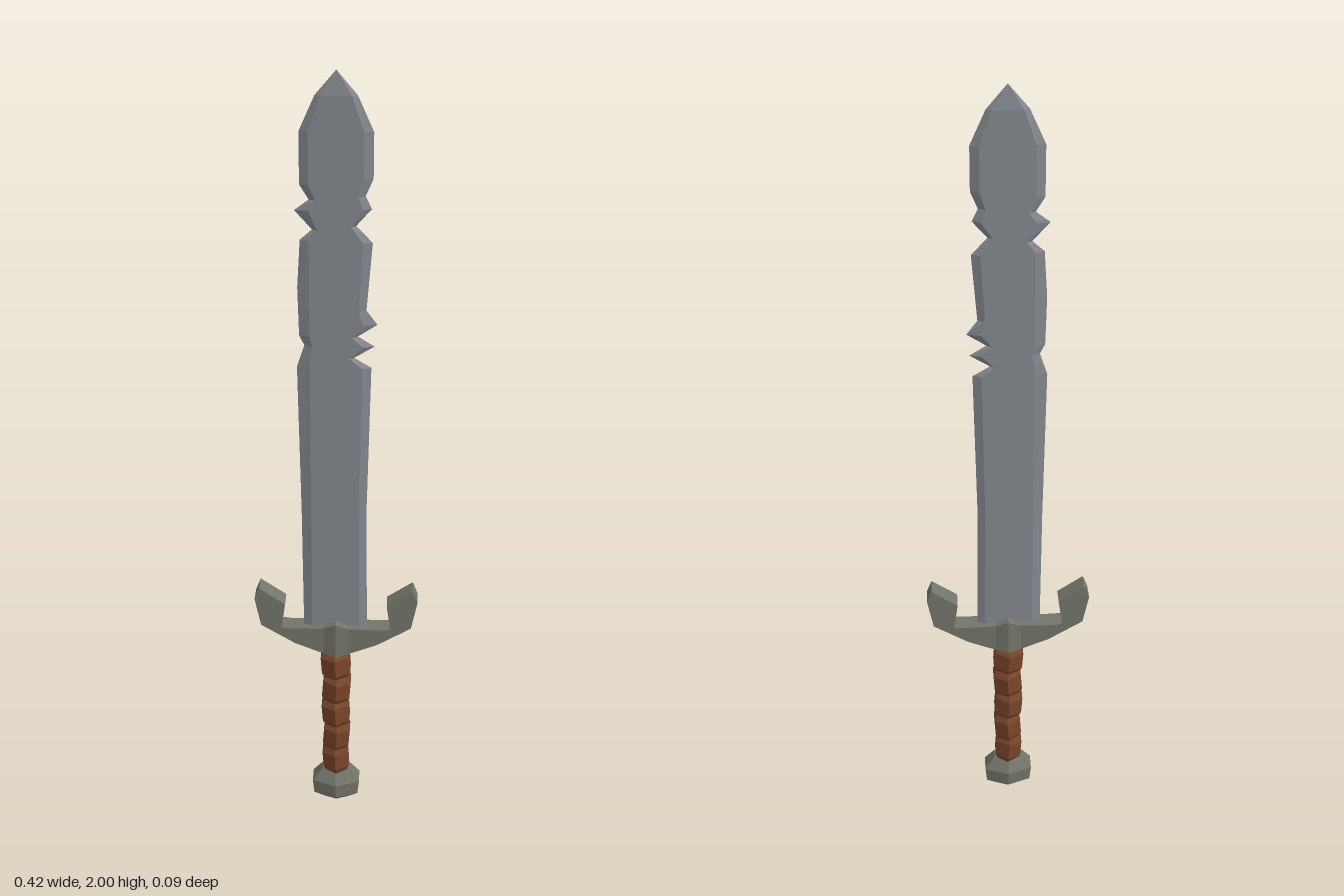
import * as THREE from 'three';

const material = (color) => new THREE.MeshStandardMaterial({ color, flatShading: true });

// Skin a series of equal-length closed loops, capping both ends.
function loft(loops) {
  const n = loops[0].length;
  const index = [];
  for (let i = 0; i < loops.length - 1; i++) {
    for (let j = 0; j < n; j++) {
      const a = i * n + j, b = i * n + (j + 1) % n;
      index.push(a, b, b + n, a, b + n, a + n);
    }
  }
  const last = (loops.length - 1) * n;
  for (let j = 1; j < n - 1; j++) {
    index.push(0, j + 1, j, last, last + j, last + j + 1);
  }
  const geometry = new THREE.BufferGeometry();
  geometry.setAttribute('position', new THREE.Float32BufferAttribute(loops.flat(2), 3));
  geometry.setIndex(index);
  geometry.computeVertexNormals();
  return geometry;
}

// Half width of an edge profile of [halfWidth, y] points at height y.
function widthAt(profile, y) {
  for (let i = 1; i < profile.length; i++) {
    const [w0, y0] = profile[i - 1], [w1, y1] = profile[i];
    if (y <= y1) return w0 + (w1 - w0) * (y - y0) / (y1 - y0);
  }
  return 0;
}

// Bevelled blade with a differently chipped edge on each side.
function bladeGeometry() {
  const leftEdge = [[0.08, 0.53], [0.075, 0.9], [0.083, 1.3], [0.042, 1.325], [0.09, 1.355],
    [0.05, 1.38], [0.096, 1.41], [0.07, 1.445], [0.083, 1.61], [0.045, 1.65], [0.08, 1.69],
    [0.066, 1.72], [0.083, 1.76], [0.083, 1.865], [0.047, 1.945], [0, 2]];
  const rightEdge = [[0.083, 0.53], [0.086, 0.9], [0.093, 1.3], [0.075, 1.355], [0.087, 1.38],
    [0.09, 1.5], [0.083, 1.615], [0.055, 1.64], [0.095, 1.685], [0.062, 1.71],
    [0.083, 1.745], [0.083, 1.865], [0.047, 1.945], [0, 2]];
  const heights = [...new Set([...leftEdge, ...rightEdge].map((p) => p[1]))].sort((a, b) => a - b);
  return loft(heights.map((y) => {
    const l = widthAt(leftEdge, y), r = widthAt(rightEdge, y);
    const li = Math.min(l * 0.75, 0.062), ri = Math.min(r * 0.75, 0.062);
    const t = y > 1.99 ? 0 : 0.009;
    return [[-r, y, 0], [-ri, y, t], [li, y, t], [l, y, 0], [li, y, -t], [-ri, y, -t]];
  }));
}

// Guard sections from centre to horn tip: lower point, upper point, half depth.
function guardGeometry() {
  const half = [
    [0, 0.485, 0, 0.587, 0.034],
    [0.032, 0.492, 0.032, 0.57, 0.024],
    [0.105, 0.522, 0.115, 0.568, 0.024],
    [0.193, 0.577, 0.14, 0.57, 0.024],
    [0.208, 0.655, 0.13, 0.642, 0.024],
    [0.196, 0.687, 0.194, 0.687, 0.024],
  ];
  const mirrored = half.slice(1).reverse().map(([bx, by, tx, ty, d]) => [-bx, by, -tx, ty, d]);
  return loft([...mirrored, ...half].map(([bx, by, tx, ty, d]) =>
    [[bx, by, d], [bx, by, -d], [tx, ty, -d], [tx, ty, d]]));
}

// Six-sided turned form.
const turned = (points) =>
  new THREE.LatheGeometry(points.map(([r, y]) => new THREE.Vector2(r, y)), 6);

export function createModel() {
  const sword = new THREE.Group();
  sword.name = 'sword';
  const steel = material(0x858990);
  const iron = material(0x74756a);
  const leather = material(0x79452b);
  const add = (name, geometry, mat, parent = sword) => {
    const mesh = new THREE.Mesh(geometry, mat);
    mesh.name = name;
    parent.add(mesh);
    return mesh;
  };

  add('blade', bladeGeometry(), steel);
  add('guard', guardGeometry(), iron);

  // Grip: five slightly crooked leather windings.
  const grip = new THREE.Group();
  grip.name = 'grip';
  sword.add(grip);
  for (let i = 0; i < 5; i++) {
    const r = 0.039 + i * 0.001;
    const winding = add('gripWinding', turned([
      [0, -0.041], [0.031, -0.041], [r, -0.024], [r, 0.024], [0.031, 0.041], [0, 0.041],
    ]), leather, grip);
    winding.position.set(i % 2 ? 0.001 : -0.001, 0.14 + i * 0.078, 0);
    winding.rotation.z = i % 2 ? -0.07 : 0.07;
  }

  // Pommel: wide faceted knob.
  const pommel = add('pommel', turned([
    [0, 0], [0.022, 0.004], [0.044, 0.026], [0.047, 0.068], [0.027, 0.105], [0, 0.105],
  ]), iron);
  pommel.scale.x = 1.55;

  return sword;
}
